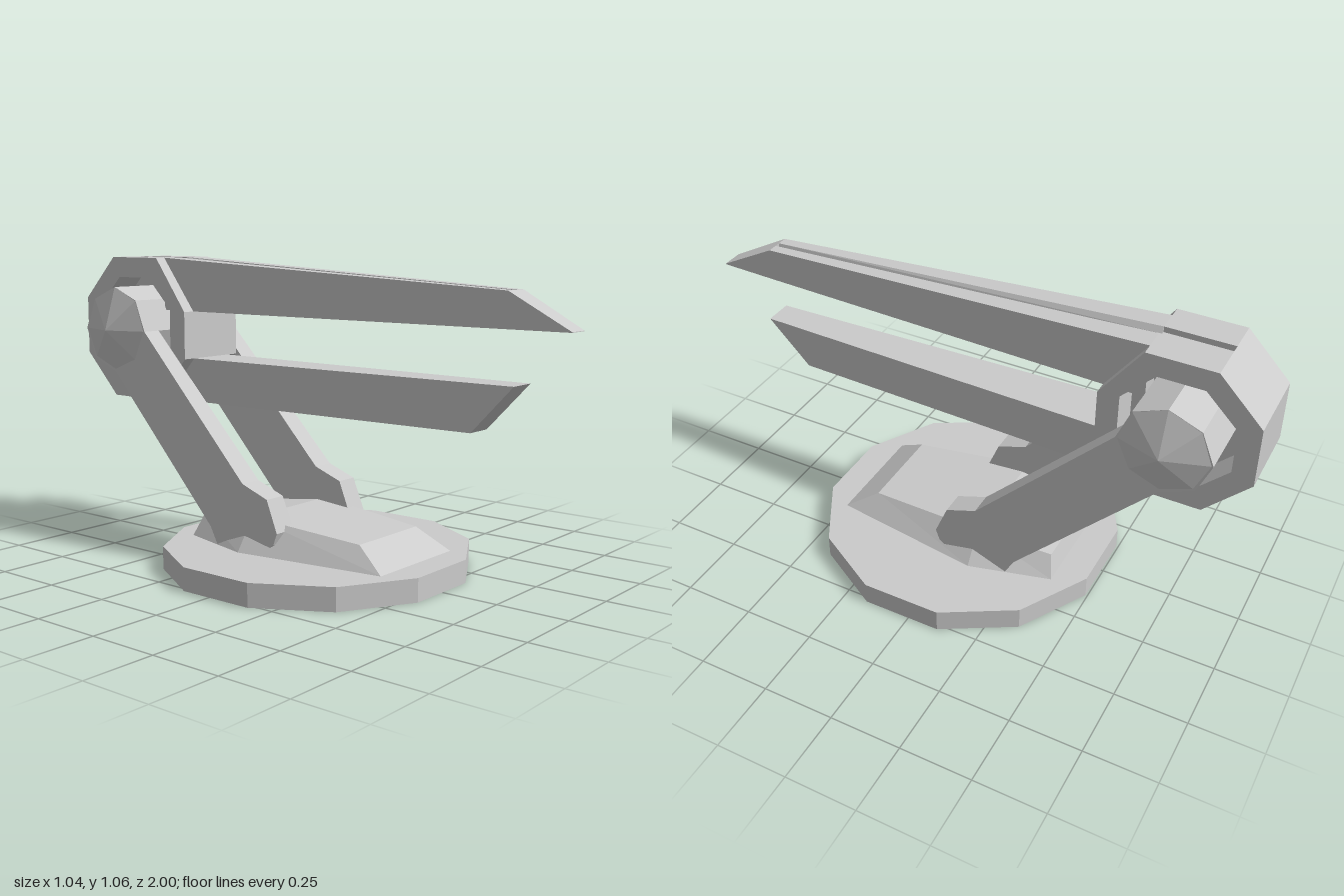
import * as THREE from 'three';

const material = new THREE.MeshStandardMaterial({ color: 0xcccccc, flatShading: true, side: THREE.DoubleSide });

function add(parent, name, geometry) {
  const mesh = new THREE.Mesh(geometry, material);
  mesh.name = name;
  parent.add(mesh);
  return mesh;
}

// Side outline of [z, y] points, extruded between two x positions
function sideExtrude(points, x0, x1, hole) {
  const toVectors = (list) => list.map(([z, y]) => new THREE.Vector2(z, y));
  const shape = new THREE.Shape(toVectors(points));
  if (hole) shape.holes.push(new THREE.Path(toVectors(hole)));
  const geometry = new THREE.ExtrudeGeometry(shape, { depth: x1 - x0, bevelEnabled: false });
  return geometry.rotateY(-Math.PI / 2).translate(x1, 0, 0);
}

// Skin over matching loops of [x, y, z], ordered back to front, with end caps
function loft(loops) {
  const positions = [];
  const tri = (a, b, c) => positions.push(...a, ...b, ...c);
  const n = loops[0].length;
  for (let i = 0; i < loops.length - 1; i++) {
    for (let j = 0; j < n; j++) {
      const k = (j + 1) % n;
      const a = loops[i][j], b = loops[i][k], c = loops[i + 1][k], d = loops[i + 1][j];
      tri(a, b, c);
      tri(a, c, d);
    }
  }
  const first = loops[0], last = loops[loops.length - 1];
  for (let j = 1; j < n - 1; j++) {
    tri(first[0], first[j + 1], first[j]);
    tri(last[0], last[j], last[j + 1]);
  }
  const geometry = new THREE.BufferGeometry();
  geometry.setAttribute('position', new THREE.Float32BufferAttribute(positions, 3));
  geometry.computeVertexNormals();
  return geometry;
}

// Four-cornered loop whose bottom and top edges may lie at different z
const quadLoop = (wb, yb, zb, wt, yt, zt) => [[-wb, yb, zb], [wb, yb, zb], [wt, yt, zt], [-wt, yt, zt]];

// Blade section with a channel of half width g and depth d in its top
const grooveLoop = (z, w, bottom, top, g, d) => [
  [-w, bottom, z], [w, bottom, z], [w, top, z], [g, top, z],
  [g * 0.5, top - d, z], [-g * 0.5, top - d, z], [-g, top, z], [-w, top, z],
];

export function createModel() {
  const model = new THREE.Group();
  model.name = 'model';
  const pivotY = 0.8, pivotZ = -0.74;

  // Base: twelve-sided disc, open underneath
  const base = new THREE.Group();
  base.name = 'base';
  model.add(base);
  add(base, 'baseRim', new THREE.CylinderGeometry(0.538, 0.538, 0.08, 12, 1, true, Math.PI / 12))
    .position.set(0, 0.04, 0.027);
  add(base, 'baseTop', new THREE.CircleGeometry(0.538, 12, Math.PI / 12).rotateX(-Math.PI / 2))
    .position.set(0, 0.08, 0.027);

  // Raised mount on the disc
  add(base, 'mount', loft([
    quadLoop(0.2, 0.08, -0.385, 0.16, 0.155, -0.365),
    quadLoop(0.275, 0.08, -0.1, 0.2, 0.19, -0.1),
    quadLoop(0.2, 0.08, 0.445, 0.16, 0.155, 0.33),
  ]));

  // Support arms, widening slightly towards the foot
  const armOutline = [
    [0.045, 0.16], [0, 0.27], [-0.11, 0.31], [-0.585, 0.8], [-0.63, 0.91], [-0.74, 0.955],
    [-0.85, 0.91], [-0.895, 0.8], [-0.85, 0.69], [-0.74, 0.645], [-0.26, 0.14],
    [-0.2, 0.03], [-0.08, 0.03], [0.03, 0.12],
  ];
  for (const side of [1, -1]) {
    const label = side > 0 ? 'left' : 'right';
    const arm = sideExtrude(armOutline, -1, 1);
    const p = arm.attributes.position;
    for (let i = 0; i < p.count; i++) {
      p.setX(i, side * 0.197 + p.getX(i) * (0.033 + (0.955 - p.getY(i)) * 0.012));
    }
    add(model, label + 'Arm', arm);
    add(model, label + 'PivotCap', new THREE.ConeGeometry(0.155, 0.05, 8).rotateZ(-side * Math.PI / 2))
      .position.set(side * 0.255, pivotY, pivotZ);
  }

  // Axle through the head
  add(model, 'axle', new THREE.CylinderGeometry(0.155, 0.155, 0.34, 8).rotateZ(Math.PI / 2))
    .position.set(0, pivotY, pivotZ);

  // Head: eight-sided rings on either side of a grooved core
  const lower = [[-1, 0.905], [-1, 0.695], [-0.85, 0.54], [-0.62, 0.54], [-0.48, 0.7], [-0.48, 0.87]];
  const ringOutline = [[-0.62, 1.06], [-0.85, 1.06], ...lower];
  const coreOutline = [[-0.605, 1.04], [-0.85, 1.04], [-0.85, 1.06], ...lower];
  const opening = [];
  for (let i = 0; i < 8; i++) {
    const a = (i + 0.5) * Math.PI / 4;
    opening.push([pivotZ + 0.202 * Math.cos(a), pivotY + 0.202 * Math.sin(a)]);
  }
  const head = new THREE.Group();
  head.name = 'head';
  model.add(head);
  add(head, 'leftHeadRing', sideExtrude(ringOutline, 0.022, 0.135, opening));
  add(head, 'rightHeadRing', sideExtrude(ringOutline, -0.135, -0.022, opening));
  add(head, 'headCore', sideExtrude(coreOutline, -0.022, 0.022));

  // Upper prong with a groove along its top
  add(model, 'upperProng', loft([
    grooveLoop(-0.62, 0.094, 0.87, 1.06, 0.022, 0.02),
    grooveLoop(0.79, 0.046, 0.87, 0.985, 0.01, 0.02),
    grooveLoop(0.79, 0.046, 0.87, 0.985, 0.01, 0),
    grooveLoop(1, 0.038, 0.87, 0.872, 0.01, 0),
  ]));

  // Lower prong with a slanted tip
  add(model, 'lowerProng', loft([
    quadLoop(0.092, 0.543, -0.62, 0.092, 0.7, -0.62),
    quadLoop(0.048, 0.543, 0.67, 0.05, 0.7, 0.82),
  ]));

  return model;
}
